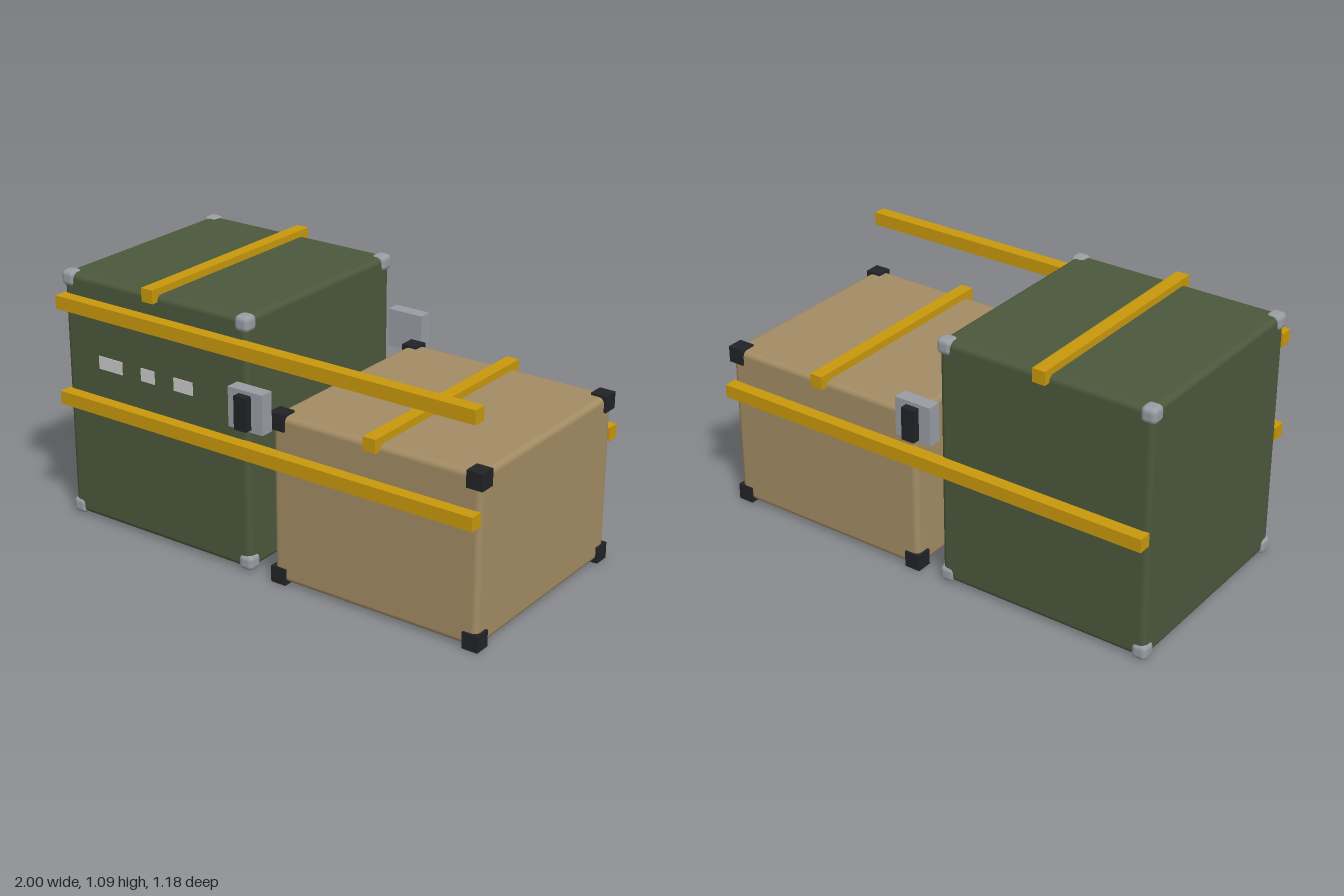
import * as THREE from 'three';
import { RoundedBoxGeometry } from 'three/addons/geometries/RoundedBoxGeometry.js';

const mat = (color) => new THREE.MeshStandardMaterial({ color });

export function createModel() {
  const model = new THREE.Group();
  const green = mat(0x4c583c), tan = mat(0xa38c64), yellow = mat(0xc8980c);
  const steel = mat(0x989da3), black = mat(0x212326), pale = mat(0xc4c8c6);

  // Box centred at (x, y, z), with rounded edges when r > 0
  const box = (name, material, w, h, d, x, y, z, r = 0, segments = 2, parent = model) => {
    const geo = r ? new RoundedBoxGeometry(w, h, d, segments, r) : new THREE.BoxGeometry(w, h, d);
    const mesh = new THREE.Mesh(geo, material);
    mesh.name = name;
    mesh.position.set(x, y, z);
    parent.add(mesh);
    return mesh;
  };

  // Crate with a guard on each of its eight corners
  const crate = (name, material, x, bottom, top, guard) => {
    const group = new THREE.Group();
    group.name = name;
    model.add(group);
    box(name + 'Body', material, 0.93, top - bottom, 0.934, x, (top + bottom) / 2, 0, 0.024, 2, group);
    const o = guard.size / 2;
    for (const sx of [-1, 1]) for (const sz of [-1, 1])
      for (const y of [guard.low + o, guard.high - o])
        box('cornerGuard', guard.material, guard.size, guard.size, guard.size,
          x + sx * (0.475 - o), y, sz * (0.475 - o), guard.radius, 2, group);
  };
  crate('tallCrate', green, -0.525, 0.01, 1.06,
    { material: steel, size: 0.066, low: 0.003, high: 1.068, radius: 0.021 });
  crate('shortCrate', tan, 0.525, 0.01, 0.708,
    { material: black, size: 0.069, low: 0, high: 0.717, radius: 0 });

  // Long straps: two across the front, one across the back
  const S = 0.056;
  box('upperFrontStrap', yellow, 1.98, S, S, 0, 0.945, 0.492);
  for (const s of [1, -1])
    box(s > 0 ? 'lowerFrontStrap' : 'lowerBackStrap', yellow, 1.98, S, S, 0, 0.535, s * 0.492);

  // Straps running front to back over the lids
  box('tallCrateLidStrap', yellow, S, S, 0.99, -0.525, 1.061, 0);
  box('shortCrateLidStrap', yellow, S, S, 0.99, 0.525, 0.711, 0);

  // Latches between the crates, front and back
  for (const s of [1, -1]) {
    box('latchPlate', steel, 0.163, 0.163, 0.058, 0, 0.734, s * 0.527);
    box('latchHandle', black, 0.058, 0.137, 0.04, 0, 0.732, s * 0.568);
  }

  // Label plates on the tall crate
  for (const [x, w] of [[-0.755, 0.122], [-0.56, 0.07], [-0.378, 0.096]])
    box('labelPlate', pale, w, 0.055, 0.012, x, 0.712, 0.4645);

  return model;
}
